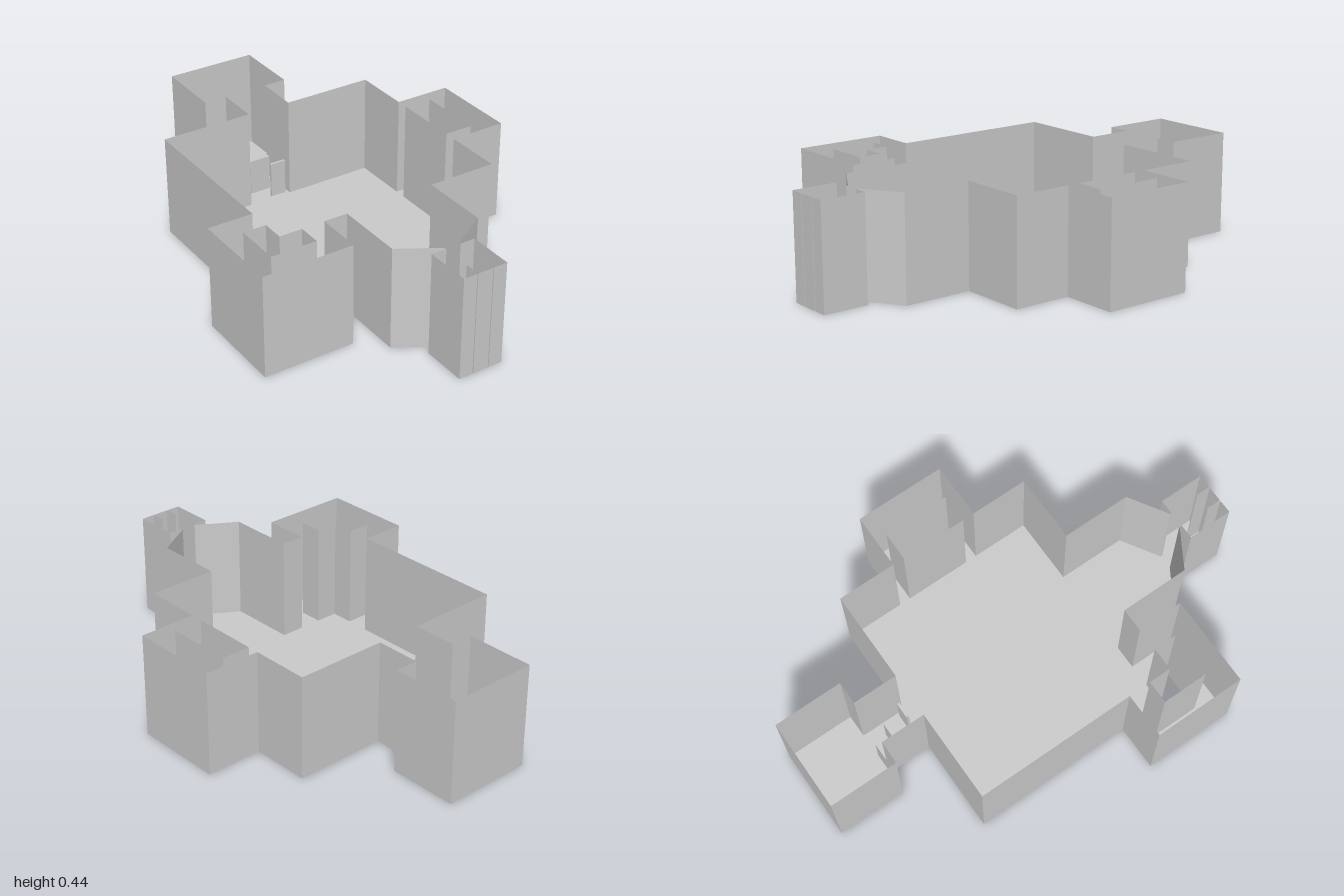
import * as THREE from 'three';

const HEIGHT = 0.445;
const material = new THREE.MeshStandardMaterial({ color: 0xcccccc, side: THREE.DoubleSide });

// Counter-clockwise rectangle of [x, z] corners
const rect = (x0, x1, z0, z1) => [[x0, z0], [x0, z1], [x1, z1], [x1, z0]];

// Thin upright walls following a closed plan loop
function wallLoop(points, height) {
  const pos = [];
  points.forEach(([ax, az], i) => {
    const [bx, bz] = points[(i + 1) % points.length];
    pos.push(ax, 0, az, bx, 0, bz, bx, height, bz);
    pos.push(ax, 0, az, bx, height, bz, ax, height, az);
  });
  const geo = new THREE.BufferGeometry();
  geo.setAttribute('position', new THREE.Float32BufferAttribute(pos, 3));
  geo.computeVertexNormals();
  return geo;
}

// Flat sheet from a plan loop, with optional openings
function sheet(points, holes = []) {
  const toVectors = loop => loop.map(([x, z]) => new THREE.Vector2(x, -z));
  const shape = new THREE.Shape(toVectors(points));
  shape.holes = holes.map(h => new THREE.Path(toVectors(h)));
  return new THREE.ShapeGeometry(shape).rotateX(-Math.PI / 2);
}

export function createModel() {
  const model = new THREE.Group();
  const add = (name, geo, parent = model) => {
    const mesh = new THREE.Mesh(geo, material);
    mesh.name = name;
    parent.add(mesh);
    return mesh;
  };

  const outline = [
    // back room and its passage
    [-0.122, -0.505], [-0.122, -0.7], [-0.222, -0.7], [-0.222, -1],
    [0.174, -1], [0.174, -0.7], [0.074, -0.7], [0.074, -0.505],
    // main hall and left side corridor
    [0.472, -0.505], [0.472, -0.25], [0.718, -0.25], [0.718, 0.143],
    [0.472, 0.143], [0.472, 0.395],
    // tapering front hall
    [0.174, 0.395], [0.174, 0.695], [0.01, 0.796], [0.01, 0.804],
    // front closet with two narrow partitions
    [0.074, 0.804], [0.074, 1], [0.014, 1], [0.014, 0.935], [0.01, 0.935], [0.01, 1],
    [-0.058, 1], [-0.058, 0.935], [-0.062, 0.935], [-0.062, 1],
    [-0.122, 1], [-0.122, 0.804], [-0.055, 0.804], [-0.055, 0.796],
    // right side corridor
    [-0.222, 0.695], [-0.222, 0.395], [-0.325, 0.395], [-0.325, 0.595],
    [-0.718, 0.595], [-0.718, 0.198], [-0.523, 0.198], [-0.523, -0.505],
  ];

  // Courts enclosed by the two side corridors
  const leftCourt = rect(0.472, 0.598, -0.2, 0.092);
  const rightCourt = [
    [-0.622, 0.297], [-0.622, 0.497], [-0.424, 0.497],
    [-0.424, 0.395], [-0.523, 0.395], [-0.523, 0.297],
  ];

  // Low barriers staggered along the back passage
  const barriers = [
    rect(-0.119, -0.032, -0.697, -0.673),
    rect(-0.073, 0.022, -0.622, -0.588),
    rect(-0.01, 0.06, -0.53, -0.519),
  ];

  add('floor', sheet(outline, [leftCourt, rightCourt, ...barriers]));
  add('outerWalls', wallLoop(outline, HEIGHT));
  add('leftCourtWalls', wallLoop(leftCourt, HEIGHT));
  add('rightCourtWalls', wallLoop(rightCourt, HEIGHT));

  const barrierHeight = 0.16;
  barriers.forEach((loop, i) => {
    const barrier = new THREE.Group();
    barrier.name = `barrier${i + 1}`;
    add('barrierSides', wallLoop(loop, barrierHeight), barrier);
    add('barrierTop', sheet(loop), barrier).position.y = barrierHeight;
    model.add(barrier);
  });

  return model;
}
